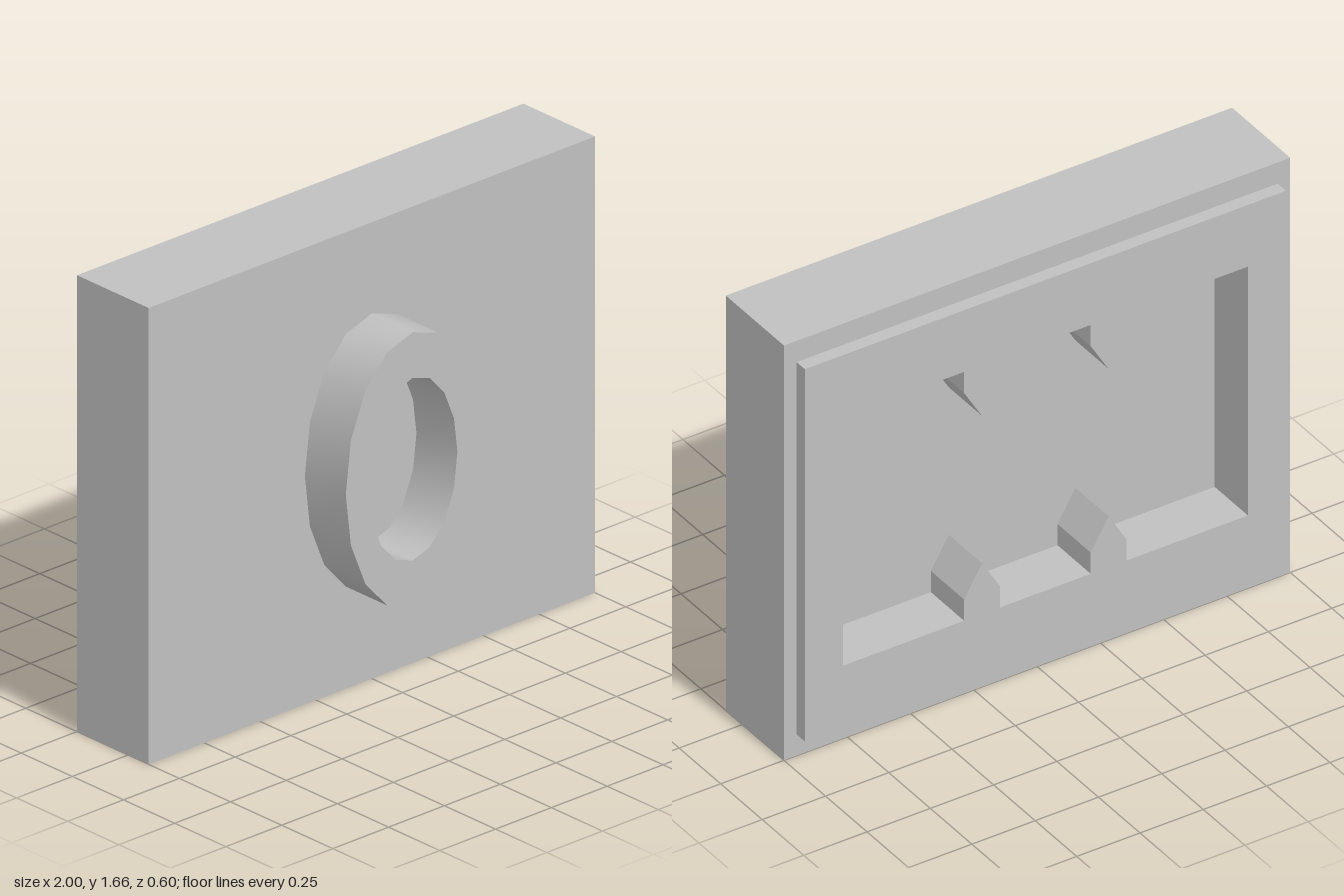
import * as THREE from 'three';
import { toCreasedNormals } from 'three/addons/utils/BufferGeometryUtils.js';

const HEIGHT = 1.66, MID = HEIGHT / 2;

const toPoints = (list) => list.map(([x, y]) => new THREE.Vector2(x, y));

const rectangle = (halfW, halfH) =>
  toPoints([[-halfW, MID - halfH], [halfW, MID - halfH], [halfW, MID + halfH], [-halfW, MID + halfH]]);

// Sixteen-sided oval outline
function oval(rx, ry) {
  const points = [];
  for (let i = 0; i < 16; i++) {
    const a = (i / 16) * Math.PI * 2;
    points.push(new THREE.Vector2(rx * Math.cos(a), MID + ry * Math.sin(a)));
  }
  return points;
}

// Pocket outline: a rectangle with two pointed teeth on its top and bottom edges
function pocketOutline() {
  const halfW = 0.8, halfH = 0.498, tooth = 0.071;
  const points = [];
  for (const side of [-1, 1]) { // bottom edge left to right, then top edge back
    const y = (inset) => MID + side * (halfH - inset);
    const x = (v) => -side * v;
    points.push([x(-halfW), y(0)]);
    for (const c of [-0.25, 0.25]) {
      points.push(
        [x(c - tooth), y(0)], [x(c - tooth), y(0.085)], [x(c), y(0.203)],
        [x(c + tooth), y(0.085)], [x(c + tooth), y(0)]);
    }
    points.push([x(halfW), y(0)]);
  }
  return toPoints(points);
}

// Extrudes an outline with one hole between two z positions
function extrudeRing(outline, hole, zBack, zFront) {
  const shape = new THREE.Shape(outline);
  shape.holes.push(new THREE.Path(hole));
  const geometry = new THREE.ExtrudeGeometry(shape, { depth: zFront - zBack, bevelEnabled: false });
  return geometry.translate(0, 0, zBack);
}

export function createModel() {
  const group = new THREE.Group();
  const grey = new THREE.MeshStandardMaterial({ color: 0xc0c0c0 });
  grey.name = 'plain grey';

  const add = (name, geometry) => {
    const mesh = new THREE.Mesh(geometry, grey);
    mesh.name = name;
    group.add(mesh);
  };

  // Solid front slab, which is also the pocket floor
  add('frontSlab', new THREE.BoxGeometry(2, HEIGHT, 0.2).translate(0, MID, 0));
  // Body walls around the pocket
  add('bodyFrame', extrudeRing(rectangle(1, MID), pocketOutline(), -0.25, -0.1));
  // Raised lip on the back
  add('backLip', extrudeRing(rectangle(0.95, 0.745), pocketOutline(), -0.3, -0.25));
  // Oval collar on the front, smooth around and sharp at the rims
  add('ovalCollar', toCreasedNormals(extrudeRing(oval(0.3, 0.498), oval(0.2, 0.332), 0.1, 0.3), 0.9));

  return group;
}
